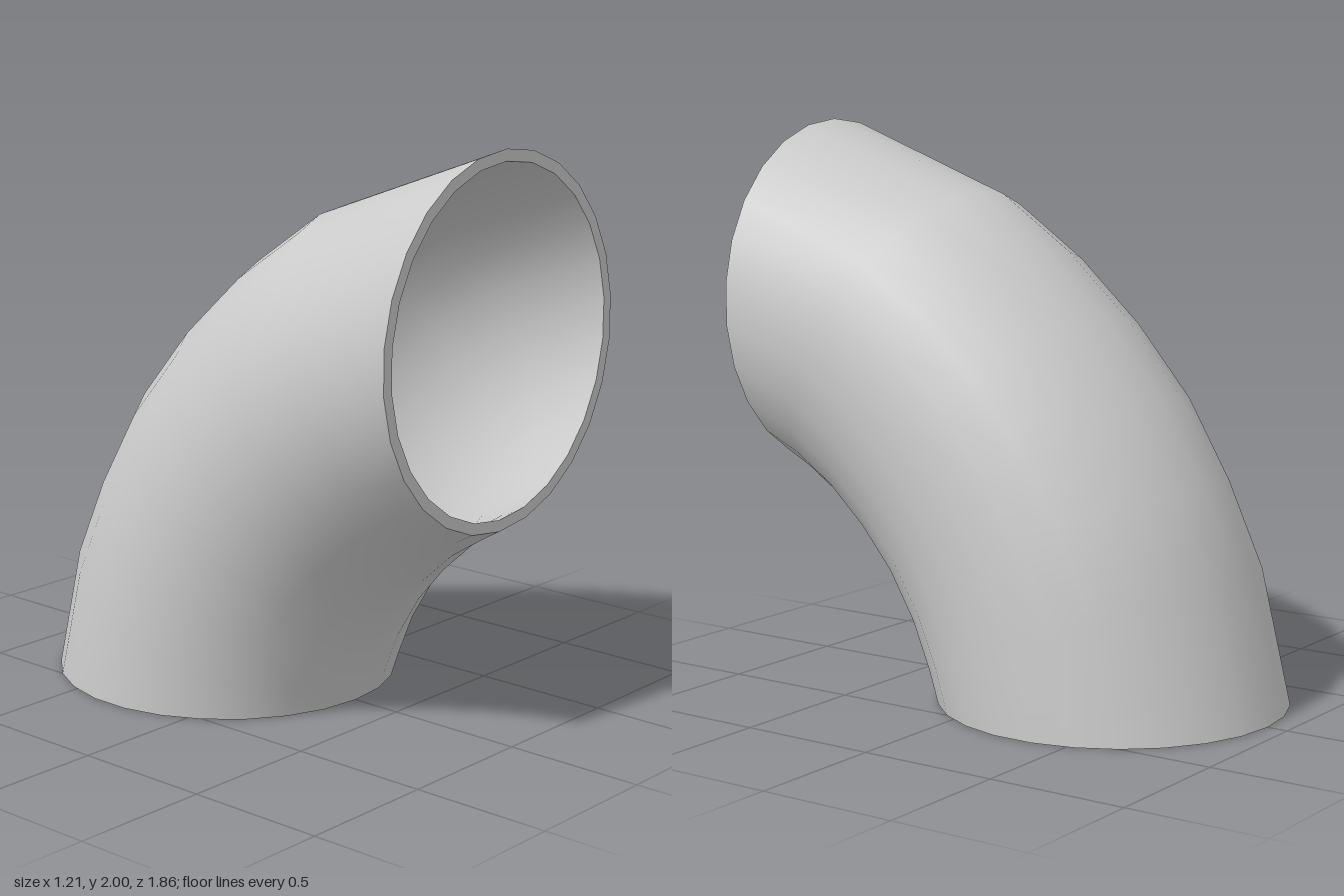
import * as THREE from 'three';

const SIDES = 26, RADIUS = 0.609, WALL = 0.04;

// Bend sections from mouth to base: [outer z, outer y, inner z, inner y]
const SECTIONS = [
  [0.93, 2.0, 0.93, 0.735],
  [0.26, 1.755, 0.87, 0.70],
  [-0.02, 1.565, 0.73, 0.61],
  [-0.27, 1.34, 0.60, 0.49],
  [-0.49, 1.085, 0.49, 0.36],
  [-0.66, 0.80, 0.40, 0.21],
  [-0.80, 0.50, 0.34, 0.06],
  [-0.925, 0, 0.315, 0],
];

// One ring of points across the pipe, shrunk by inset
function ring([oz, oy, iz, iy], inset) {
  const span = Math.hypot(oz - iz, oy - iy);
  const k = 0.5 - inset / span;
  return Array.from({ length: SIDES }, (_, i) => {
    const t = (i / SIDES) * Math.PI * 2, c = Math.cos(t) * k;
    return [
      Math.sin(t) * (RADIUS - inset),
      (oy + iy) / 2 + (oy - iy) * c,
      (oz + iz) / 2 + (oz - iz) * c,
    ];
  });
}

// Skin a run of rings with smooth normals
function loft(name, rings, material) {
  const index = [];
  for (let s = 0; s < rings.length - 1; s++) {
    for (let i = 0; i < SIDES; i++) {
      const j = (i + 1) % SIDES, a = s * SIDES, b = a + SIDES;
      index.push(a + i, a + j, b + i, a + j, b + j, b + i);
    }
  }
  const geometry = new THREE.BufferGeometry();
  geometry.setAttribute('position', new THREE.Float32BufferAttribute(rings.flat(2), 3));
  geometry.setIndex(index);
  geometry.computeVertexNormals();
  const mesh = new THREE.Mesh(geometry, material);
  mesh.name = name;
  return mesh;
}

export function createModel() {
  const group = new THREE.Group();
  group.name = 'pipeElbow';
  const material = new THREE.MeshStandardMaterial({ color: 0xcccccc });

  const outer = SECTIONS.map((s) => ring(s, 0));
  const inner = SECTIONS.map((s) => ring(s, WALL)).reverse();

  group.add(
    loft('outerWall', outer, material),
    loft('baseRim', [outer.at(-1), inner[0]], material),
    loft('innerWall', inner, material),
    loft('mouthRim', [inner.at(-1), outer[0]], material),
  );
  return group;
}
